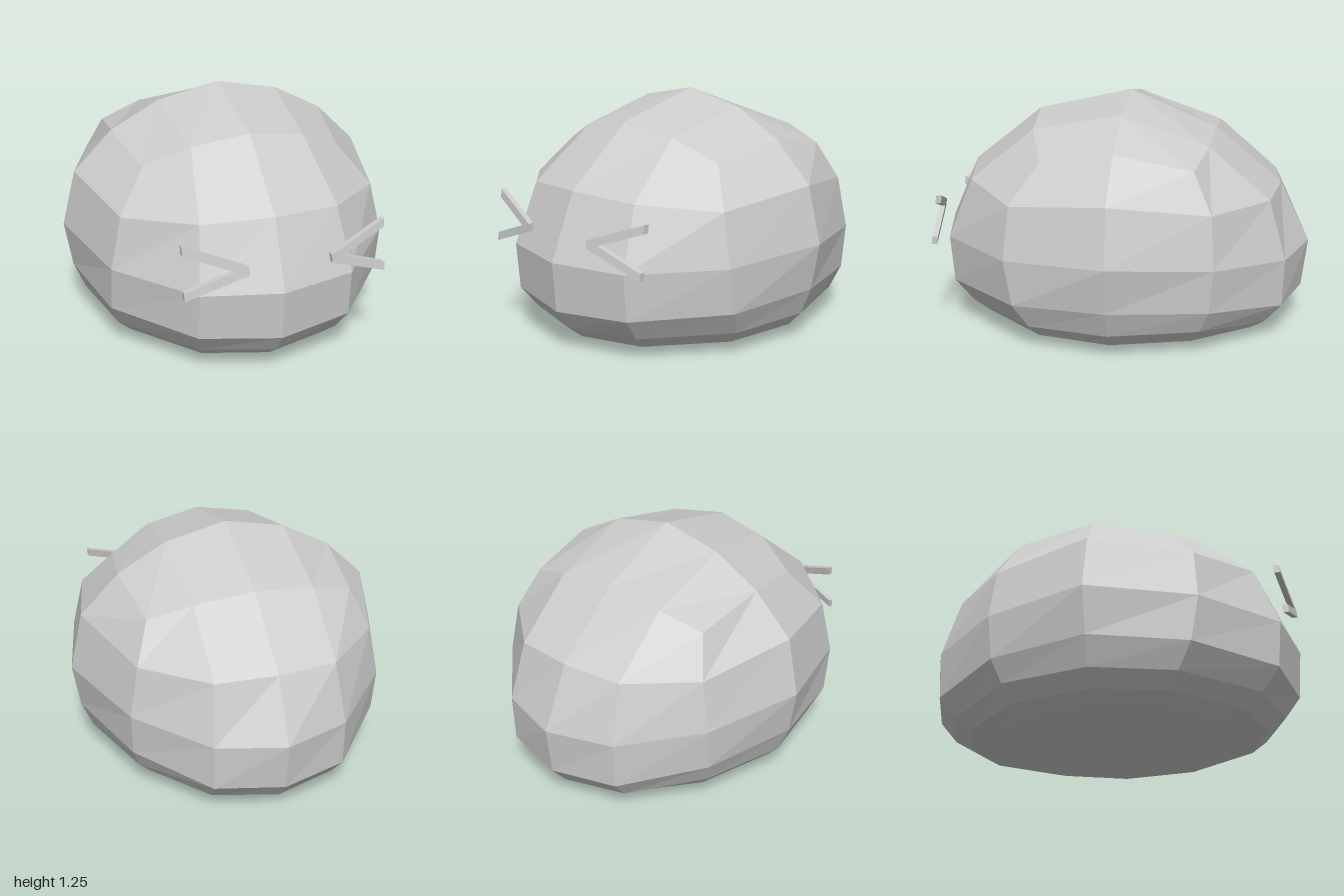
import * as THREE from 'three';

const material = new THREE.MeshStandardMaterial({ color: 0xcccccc, flatShading: true });

// Half cross-sections [x, y, z] from front centre round the left side to back centre, low to high
const sections = [
  [[0, .12, .9], [.37, .125, .79], [.69, .13, .4], [.77, .14, -.03], [.63, .14, -.48], [.33, .09, -.79], [0, .08, -.88]],
  [[0, .23, .98], [.4, .245, .88], [.74, .26, .47], [.83, .285, -.03], [.67, .26, -.53], [.35, .2, -.88], [0, .19, -.97]],
  [[0, .49, 1], [.4, .49, .9], [.74, .5, .51], [.87, .53, -.04], [.68, .49, -.55], [.35, .45, -.89], [0, .45, -1]],
  [[0, .83, .85], [.36, .81, .78], [.68, .77, .49], [.8, .83, -.03], [.63, .76, -.53], [.32, .76, -.8], [0, .77, -.84]],
  [[0, 1.13, .48], [.3, 1.08, .45], [.53, .97, .36], [.59, 1.04, -.03], [.55, .96, -.43], [.32, 1.03, -.48], [0, 1.06, -.49]],
];

// Mirror a half section into a closed ring of 12 points
function closeRing(half) {
  const mirrored = half.slice(1, -1).reverse().map(([x, y, z]) => [-x, y, z]);
  return [...half, ...mirrored];
}

function bodyGeometry() {
  const positions = [];
  const quad = (a, b, c, d) => positions.push(...a, ...b, ...c, ...a, ...c, ...d);

  // The underside shrinks and flattens the lowest section
  const under = [[.4, 0], [.75, .12], [.9, .42]].map(([s, h]) =>
    sections[0].map(([x, y, z]) => [x * s, y * h, z * s]));
  const rings = [...under, ...sections].map(closeRing);

  // Side walls
  for (let r = 0; r < rings.length - 1; r++) {
    for (let j = 0; j < 12; j++) {
      const k = (j + 1) % 12;
      quad(rings[r][j], rings[r][k], rings[r + 1][k], rings[r + 1][j]);
    }
  }

  // Bottom fan
  for (let j = 0; j < 12; j++) {
    positions.push(0, 0, 0, ...rings[0][(j + 1) % 12], ...rings[0][j]);
  }

  // Domed top: a grid of two rows across the highest ring
  const rim = rings[rings.length - 1];
  const front = [10, 11, 0, 1, 2].map(i => rim[i]);
  const crest = [rim[9], [-.33, 1.18, -.025], [0, 1.25, -.02], [.33, 1.18, -.025], rim[3]];
  const back = [8, 7, 6, 5, 4].map(i => rim[i]);
  for (let i = 0; i < 4; i++) {
    quad(front[i], front[i + 1], crest[i + 1], crest[i]);
    quad(crest[i], crest[i + 1], back[i + 1], back[i]);
  }

  const geometry = new THREE.BufferGeometry();
  geometry.setAttribute('position', new THREE.Float32BufferAttribute(positions, 3));
  geometry.computeVertexNormals();
  return geometry;
}

// V-shaped squinting eye, its tip at x = 0 and its arms opening towards side * x
function eyeGeometry(side) {
  const outline = [[0, -.02], [.31, -.135], [.31, -.092], [.065, 0], [.31, .092], [.31, .135], [0, .02]];
  const shape = new THREE.Shape(outline.map(([x, y]) => new THREE.Vector2(side * x, y)));
  const geometry = new THREE.ExtrudeGeometry(shape, { depth: .03, bevelEnabled: false });
  // Slant the eye back along the face
  const p = geometry.attributes.position;
  for (let i = 0; i < p.count; i++) {
    p.setZ(i, p.getZ(i) - .21 * Math.abs(p.getX(i)) - .14 * p.getY(i));
  }
  geometry.computeVertexNormals();
  return geometry;
}

export function createModel() {
  const group = new THREE.Group();
  group.name = 'squintingBlob';

  const body = new THREE.Mesh(bodyGeometry(), material);
  body.name = 'body';
  group.add(body);

  for (const [name, side, x] of [['leftEye', 1, .245], ['rightEye', -1, -.18]]) {
    const eye = new THREE.Mesh(eyeGeometry(side), material);
    eye.name = name;
    eye.position.set(x, .635, .963);
    group.add(eye);
  }
  return group;
}
